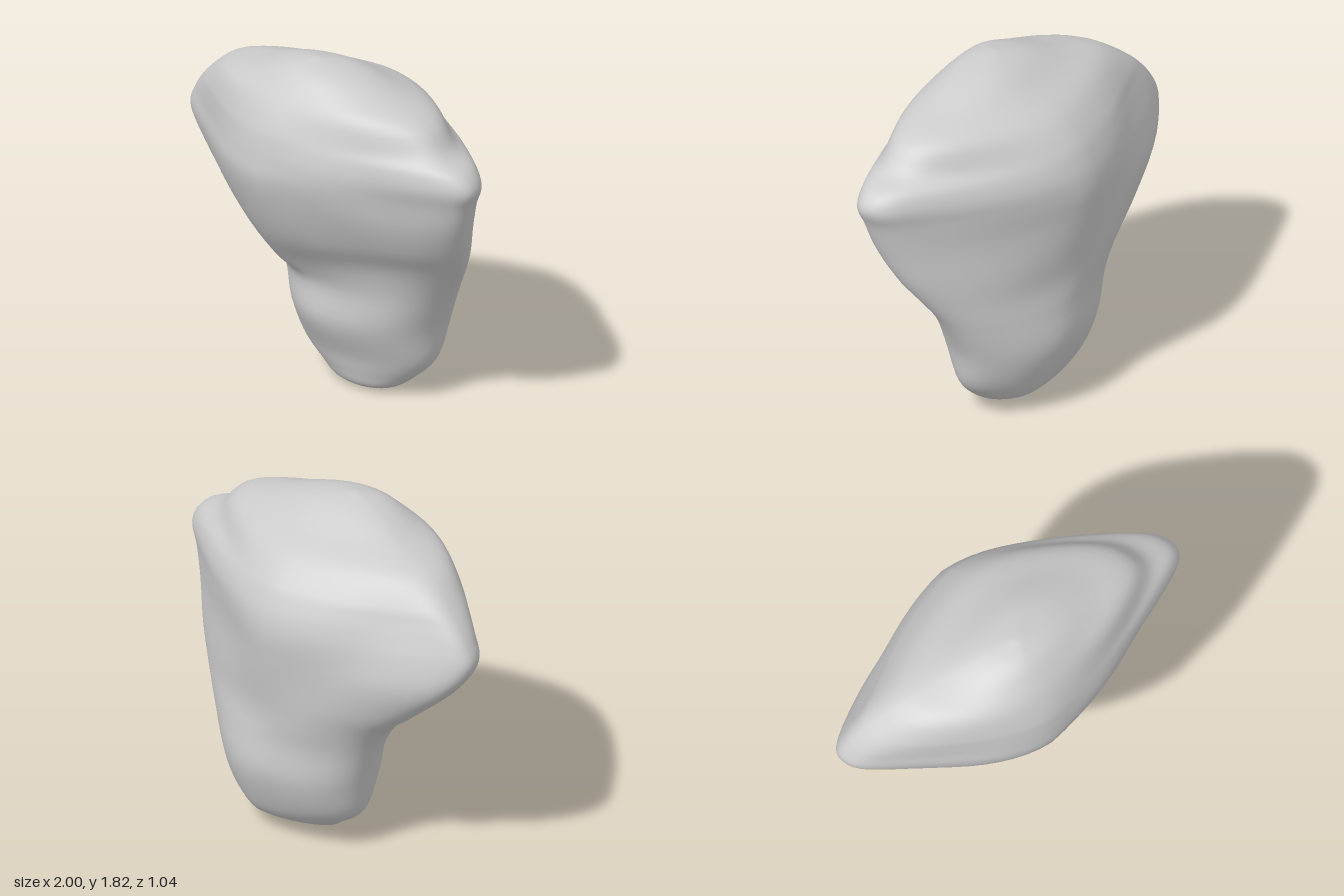
import * as THREE from 'three';

// Cross-sections from bottom to top:
// [y, right x, right z, left x, left z, front x, front z, back z]
const sections = [
  [0.03, -0.08, -0.09, 0.31, -0.08, 0.13, 0.03, -0.18],
  [0.10, -0.18, -0.12, 0.41, -0.10, 0.10, 0.06, -0.32],
  [0.20, -0.31, -0.15, 0.50, -0.13, 0.06, 0.09, -0.39],
  [0.40, -0.37, -0.17, 0.55, -0.16, 0.02, 0.18, -0.46],
  [0.60, -0.43, -0.19, 0.64, -0.13, 0.00, 0.18, -0.45],
  [0.74, -0.51, -0.20, 0.73, -0.07, -0.08, 0.24, -0.455],
  [0.90, -0.70, -0.18, 0.83, 0.01, -0.10, 0.37, -0.475],
  [1.10, -0.92, -0.13, 0.91, 0.09, -0.10, 0.475, -0.50],
  [1.25, -1.00, -0.08, 0.96, 0.12, -0.10, 0.52, -0.52],
  [1.35, -0.96, -0.07, 1.00, 0.13, -0.10, 0.515, -0.51],
  [1.43, -0.90, -0.06, 0.95, 0.13, -0.10, 0.50, -0.48],
  [1.50, -0.83, -0.05, 0.81, 0.13, -0.09, 0.48, -0.44],
  [1.62, -0.67, 0.00, 0.69, 0.12, -0.07, 0.42, -0.32],
  [1.70, -0.42, 0.05, 0.45, 0.11, -0.05, 0.36, -0.16],
  [1.78, -0.20, 0.11, 0.20, 0.12, -0.05, 0.27, -0.01],
];
// Thinning of each section's flanks: [front left, back left, front right, back right]
const pinches = [
  [0, 0.05, 0, 0], [0, 0.15, 0, 0], [-0.1, 0.2, 0.05, 0],
  [-0.15, 0.2, 0.1, 0], [-0.15, 0.25, 0.12, 0], [-0.05, 0.32, 0.08, 0.05],
  [0.2, 0.4, 0.25, 0.15], [0.45, 0.48, 0.45, 0.35], [0.55, 0.52, 0.6, 0.6],
  [0.5, 0.52, 0.58, 0.68], [0.45, 0.47, 0.47, 0.66], [0.38, 0.4, 0.32, 0.58],
  [0.2, 0.2, 0.1, 0.35], [0.08, 0.08, 0, 0.15], [0, 0, 0, 0],
];
const bottom = new THREE.Vector3(0.17, 0, -0.07);
const top = new THREE.Vector3(-0.03, 1.815, 0.14);

// Point on a lopsided oval, thinned on its flanks but blunt at both tips;
// angle 0 is left (+x), a quarter turn is front
function sectionPoint([y, xR, zR, xL, zL, xF, zF, zB], pinch, angle) {
  const c = Math.cos(angle), s = Math.sin(angle), u = Math.abs(c);
  const [sideX, sideZ] = c >= 0 ? [xL, zL] : [xR, zR];
  const [midX, midZ] = s >= 0 ? [xF, zF] : [xF + 0.1, zB];
  const thin = pinch[(c >= 0 ? 0 : 2) + (s >= 0 ? 0 : 1)];
  const v = Math.abs(s) * (1 - thin * Math.pow(u, 1.4) * (1 - 0.35 * Math.pow(u, 8)));
  const x = midX + (sideX - midX) * u;
  const z = sideZ + (midZ - sideZ) * v;
  // The overhanging front fold hangs lowest right of the middle
  const fold = Math.max(0, s) * Math.exp(-(((y - 0.78) / 0.16) ** 2));
  return new THREE.Vector3(x, y + fold * (0.2 * Math.hypot(x + 0.22, 0.1) - 0.08), z);
}

export function createModel() {
  const around = 80, along = 72;
  const positions = [], index = [];

  // One smooth meridian per angle, running from the bottom to the top
  for (let i = 0; i < around; i++) {
    const angle = (i / around) * Math.PI * 2;
    const ring = sections.map((row, k) => sectionPoint(row, pinches[k], angle));
    const meridian = new THREE.CatmullRomCurve3([bottom, ...ring, top]);
    for (let j = 0; j <= along; j++) {
      const q = meridian.getPoint(j / along);
      // Slight hand-worked unevenness, fading at both ends
      const bump = 0.006 * Math.sin((Math.PI * j) / along)
        * Math.sin(9 * q.x + 4 * q.y) * Math.sin(8 * q.y - 5 * q.z);
      positions.push(q.x, q.y, q.z + bump * Math.sin(angle));
    }
  }

  // Skin between neighbouring meridians
  const stride = along + 1;
  for (let i = 0; i < around; i++) {
    const a = i * stride, b = ((i + 1) % around) * stride;
    for (let j = 0; j < along; j++) {
      if (j > 0) index.push(a + j, a + j + 1, b + j);
      if (j < along - 1) index.push(b + j, a + j + 1, b + j + 1);
    }
  }

  const geometry = new THREE.BufferGeometry();
  geometry.setAttribute('position', new THREE.Float32BufferAttribute(positions, 3));
  geometry.setIndex(index);
  geometry.computeVertexNormals();

  // Give every copy of the two end points one shared normal
  const normals = geometry.attributes.normal;
  for (let i = 0; i < around; i++) {
    normals.setXYZ(i * stride, 0, -1, 0);
    normals.setXYZ(i * stride + along, 0, 1, 0);
  }

  const body = new THREE.Mesh(geometry, new THREE.MeshStandardMaterial({ color: 0xcccccc }));
  body.name = 'stoneBody';
  const model = new THREE.Group();
  model.name = 'stone';
  model.add(body);
  return model;
}
